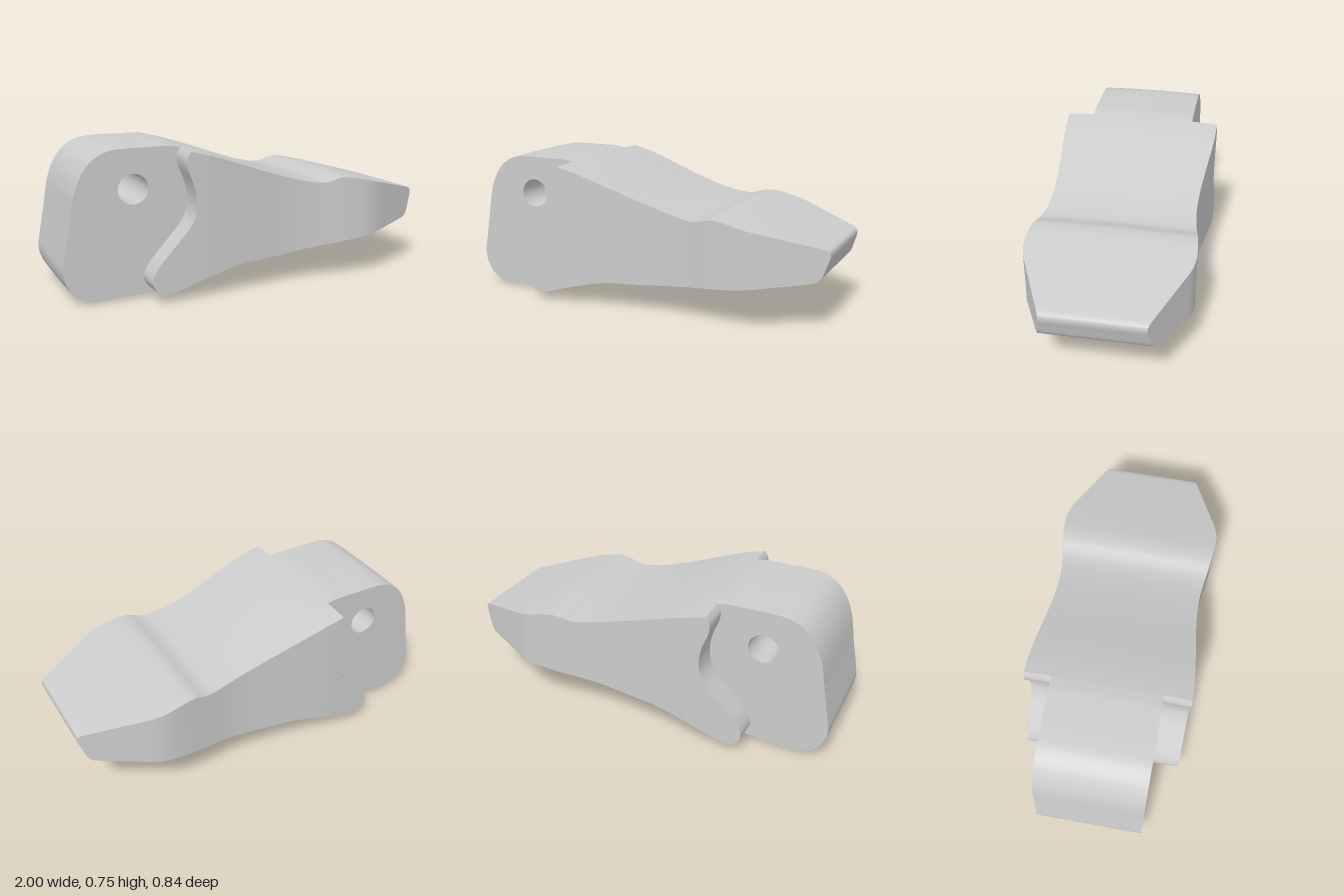
import * as THREE from 'three';

const HUB = 0.28;   // half thickness of the hub
const WIDE = 0.42;  // greatest half width of the body
const material = new THREE.MeshStandardMaterial({ color: 0xcccccc });
const { smoothstep, clamp, lerp } = THREE.MathUtils;

// Evenly spaced points on a smooth curve through [x, y] pairs
function curve(n, pairs) {
  const c = new THREE.CatmullRomCurve3(pairs.map(([x, y]) => new THREE.Vector3(x, y, 0)), false, 'centripetal');
  return c.getSpacedPoints(n);
}

// Half width of the body along its length: waist, swell, then straight taper
function bodyWidth(x) {
  if (x < 0.18) return lerp(WIDE, 0.378, smoothstep(x, -0.38, 0.18));
  if (x < 0.58) return lerp(0.378, WIDE, smoothstep(x, 0.18, 0.58));
  if (x < 0.7) return WIDE - 2 * (x - 0.58) ** 2;
  return 0.391 - 0.47 * (x - 0.7);
}

// Slight crowning of the top and underside across the width
function crowned(x, y, z) {
  let k = clamp((0.4 - y) / 0.2, -1, 1);
  if (k > 0) k *= 1 - smoothstep(x, -0.2, 0.12);
  return [x, y + 0.07 * k * z * z, z];
}

function surface(name, positions, index) {
  const g = new THREE.BufferGeometry();
  g.setAttribute('position', new THREE.Float32BufferAttribute(positions, 3));
  g.setIndex(index);
  g.computeVertexNormals();
  const mesh = new THREE.Mesh(g, material);
  mesh.name = name;
  return mesh;
}

// Grid of quads from point(i, j), facing along di x dj unless flipped
function grid(name, nu, nv, point, flip = false) {
  const pos = [], idx = [];
  for (let i = 0; i <= nu; i++) for (let j = 0; j <= nv; j++) pos.push(...crowned(...point(i, j)));
  for (let i = 0; i < nu; i++) for (let j = 0; j < nv; j++) {
    const a = i * (nv + 1) + j, b = a + nv + 1;
    if (flip) idx.push(a, b + 1, b, a, a + 1, b + 1);
    else idx.push(a, b, b + 1, a, b + 1, a + 1);
  }
  return surface(name, pos, idx);
}

// Wall swept across z along a clockwise path
function wall(name, path, zFrom, zTo, steps = 12) {
  return grid(name, path.length - 1, steps, (i, j) => {
    const { x, y } = path[i];
    return [x, y, lerp(zFrom(x), zTo(x), j / steps)];
  });
}

export function createModel() {
  const group = new THREE.Group();
  const NU = 90, NV = 48;

  // Body outline: four edges
  const top = curve(NU, [[-0.4, 0.747], [-0.3, 0.722], [-0.2, 0.69], [-0.1, 0.655], [0, 0.62], [0.1, 0.587],
    [0.2, 0.557], [0.3, 0.535], [0.36, 0.531], [0.4, 0.541], [0.44, 0.553], [0.5, 0.552], [0.6, 0.53],
    [0.8, 0.476], [0.975, 0.428]]);
  const bottom = curve(NU, [[-0.54, 0.03], [-0.48, 0.041], [-0.4, 0.066], [-0.3, 0.096], [-0.15, 0.132],
    [0, 0.15], [0.1, 0.16], [0.3, 0.184], [0.6, 0.221], [0.92, 0.261]]);
  const tip = curve(NV, [[0.92, 0.261], [0.945, 0.268], [0.965, 0.29], [0.985, 0.345], [0.999, 0.395],
    [0.994, 0.416], [0.975, 0.428]]);
  const shoulder = curve(NV, [[-0.54, 0.03], [-0.575, 0.05], [-0.603, 0.095], [-0.59, 0.145], [-0.5, 0.255],
    [-0.41, 0.36], [-0.378, 0.42], [-0.37, 0.5], [-0.385, 0.58], [-0.418, 0.67], [-0.42, 0.715], [-0.4, 0.747]]);

  // Body flanks: blend the four edges into a patch, then follow the width
  const flank = (i, j) => {
    const u = i / NU, v = j / NV;
    const mix = (k) => lerp(shoulder[j][k], tip[j][k], u) + lerp(bottom[i][k], top[i][k], v)
      - lerp(lerp(bottom[0][k], bottom[NU][k], u), lerp(top[0][k], top[NU][k], u), v);
    return [mix('x'), mix('y')];
  };
  for (const side of [1, -1]) {
    group.add(grid(side > 0 ? 'frontFlank' : 'backFlank', NU, NV, (i, j) => {
      const [x, y] = flank(i, j);
      return [x, y, side * bodyWidth(x)];
    }, side < 0));
  }

  // Body rim over the top, around the tip and back underneath
  const rim = [...top, ...tip.slice(0, -1).reverse(), ...bottom.slice(0, -1).reverse()];
  group.add(wall('bodyRim', rim, bodyWidth, (x) => -bodyWidth(x), 16));

  // Shoulder steps beside the hub
  group.add(wall('frontShoulder', shoulder, bodyWidth, () => HUB, 2));
  group.add(wall('backShoulder', shoulder, () => -HUB, (x) => -bodyWidth(x), 2));

  // Hub rim, clockwise from the underside to the top
  const hubRim = curve(110, [[-0.54, 0.03], [-0.62, 0.02], [-0.72, 0.01], [-0.82, 0.003], [-0.88, 0.01],
    [-0.95, 0.05], [-0.988, 0.11], [-1, 0.17], [-0.993, 0.225], [-0.965, 0.38], [-0.935, 0.55], [-0.9, 0.637],
    [-0.845, 0.706], [-0.77, 0.745], [-0.68, 0.755], [-0.56, 0.755], [-0.46, 0.755], [-0.4, 0.747]]);
  group.add(wall('hubRim', hubRim, () => HUB, () => -HUB));

  // Pin hole through the hub
  const hole = Array.from({ length: 41 }, (_, i) => {
    const a = i / 40 * Math.PI * 2;
    return new THREE.Vector3(-0.645 + 0.077 * Math.cos(a), 0.554 + 0.077 * Math.sin(a), 0);
  });
  group.add(wall('pinHole', hole, () => HUB, () => -HUB, 4));

  // Hub cheeks
  const flat = (pts) => pts.map((p) => new THREE.Vector2(p.x, p.y));
  const cheek = new THREE.Shape(flat([...hubRim, ...shoulder.slice(1, -1).reverse()]));
  cheek.holes.push(new THREE.Path(flat(hole.slice(0, -1))));
  const face = new THREE.ShapeGeometry(cheek);
  const p = face.attributes.position;
  for (const side of [1, -1]) {
    const pos = [], idx = Array.from(face.index.array);
    for (let i = 0; i < p.count; i++) pos.push(...crowned(p.getX(i), p.getY(i), side * HUB));
    if (side < 0) idx.reverse();
    group.add(surface(side > 0 ? 'frontHubCheek' : 'backHubCheek', pos, idx));
  }
  return group;
}
